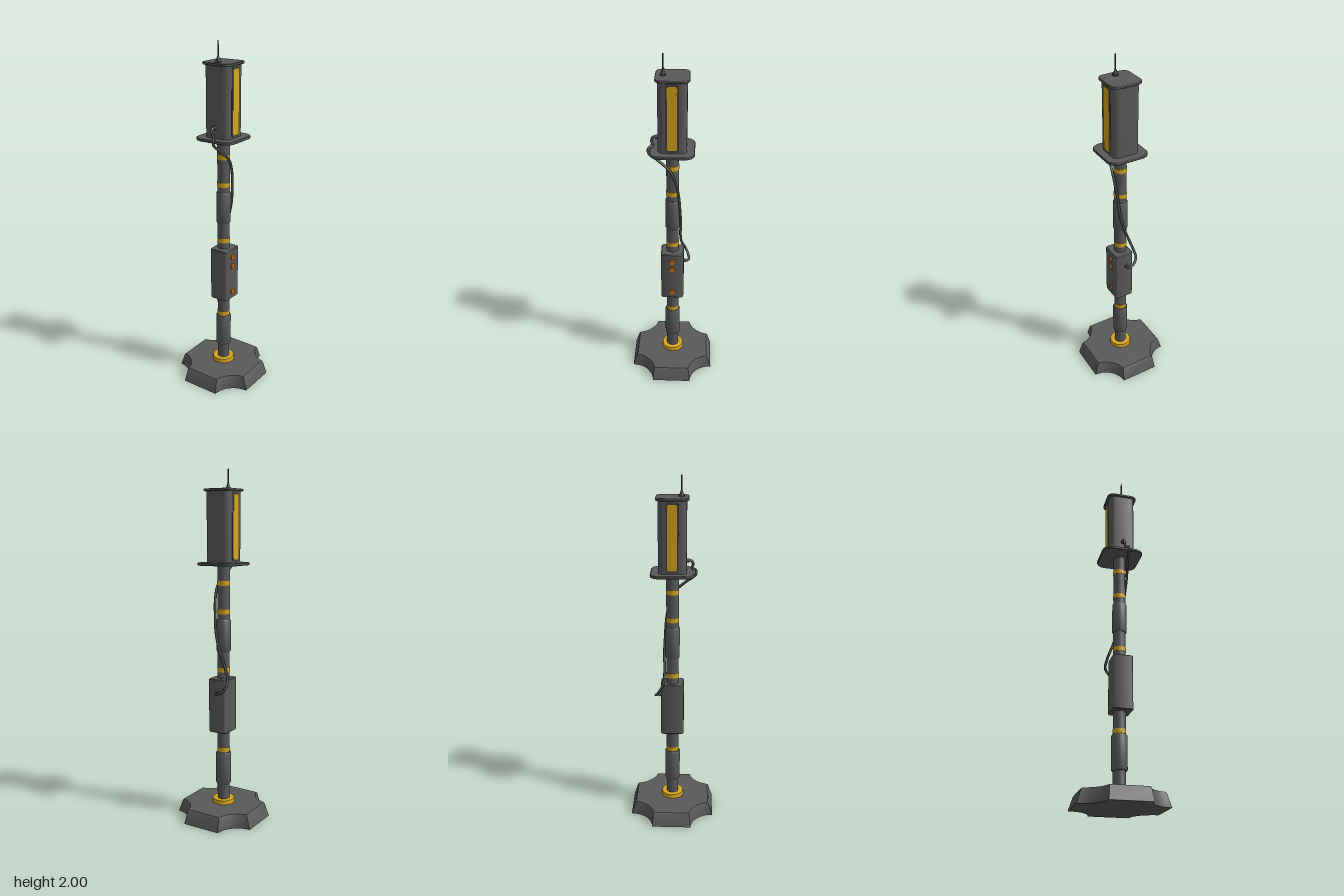
import * as THREE from 'three';
import { toCreasedNormals } from 'three/addons/utils/BufferGeometryUtils.js';

const mat = (name, color) => {
  const m = new THREE.MeshStandardMaterial({ color });
  m.name = name;
  return m;
};

// Rounded rectangle outline centred on the origin
function roundedRect(hw, hh, r) {
  const s = new THREE.Shape();
  s.moveTo(hw, -hh + r);
  s.absarc(hw - r, hh - r, r, 0, Math.PI / 2);
  s.absarc(-hw + r, hh - r, r, Math.PI / 2, Math.PI);
  s.absarc(-hw + r, -hh + r, r, Math.PI, Math.PI * 1.5);
  s.absarc(hw - r, -hh + r, r, Math.PI * 1.5, Math.PI * 2);
  return s;
}

// Square outline with a round bite taken from each corner
function bittenSquare(half, biteRadius, centre = 0.245, steps = 10) {
  const pts = [];
  const a = Math.asin((centre - half) / biteRadius);
  for (let k = 0; k < 4; k++) {
    for (let i = 0; i <= steps; i++) {
      const t = THREE.MathUtils.lerp(1.5 * Math.PI - a, Math.PI + a, i / steps);
      const p = new THREE.Vector2(centre + biteRadius * Math.cos(t), centre + biteRadius * Math.sin(t));
      pts.push(p.rotateAround(new THREE.Vector2(), k * Math.PI / 2));
    }
  }
  return pts;
}

// Skin a stack of level outlines, closed at both ends
function loft(levels) {
  const pos = [], idx = [], n = levels[0].pts.length;
  for (const { y, pts } of levels) for (const p of pts) pos.push(p.x, y, -p.y);
  for (let l = 0; l < levels.length - 1; l++) {
    for (let i = 0; i < n; i++) {
      const a = l * n + i, b = l * n + (i + 1) % n;
      idx.push(a, b, b + n, a, b + n, a + n);
    }
  }
  const top = (levels.length - 1) * n;
  for (const [a, b, c] of THREE.ShapeUtils.triangulateShape(levels[0].pts, [])) idx.push(a, c, b);
  for (const [a, b, c] of THREE.ShapeUtils.triangulateShape(levels[levels.length - 1].pts, [])) {
    idx.push(top + a, top + b, top + c);
  }
  const g = new THREE.BufferGeometry();
  g.setAttribute('position', new THREE.Float32BufferAttribute(pos, 3));
  g.setIndex(idx);
  return toCreasedNormals(g, 0.6);
}

export function createModel() {
  const group = new THREE.Group();
  const grey = mat('grey metal', 0x5a5a5a);
  const dark = mat('dark metal', 0x404040);
  const rubber = mat('cable rubber', 0x4c4c4c);
  const yellow = mat('yellow', 0xd6a61e);
  const orange = mat('orange', 0xc46c14);

  const add = (name, geometry, material, x = 0, y = 0, z = 0) => {
    const m = new THREE.Mesh(geometry, material);
    m.name = name;
    m.position.set(x, y, z);
    group.add(m);
    return m;
  };
  const tube = (name, r, y0, y1, material, rTop = r, x = 0, z = 0) =>
    add(name, new THREE.CylinderGeometry(rTop, r, y1 - y0, 24), material, x, (y0 + y1) / 2, z);

  // Upright prism with rounded corners and a small bevel
  const prism = (name, hw, hd, r, y0, y1, bevel, z = 0) => {
    const g = new THREE.ExtrudeGeometry(roundedRect(hw - bevel, hd - bevel, r), {
      depth: y1 - y0 - 2 * bevel, bevelEnabled: bevel > 0, bevelSize: bevel,
      bevelThickness: bevel, bevelSegments: 1, curveSegments: 8,
    });
    g.rotateX(-Math.PI / 2);
    return add(name, toCreasedNormals(g, 0.6), grey, 0, y0 + bevel, z);
  };
  const plate = (hw, hh, r, depth) =>
    new THREE.ExtrudeGeometry(roundedRect(hw, hh, r), { depth, bevelEnabled: false, curveSegments: 5 });

  // Foot
  add('base', loft([
    { y: 0, pts: bittenSquare(0.245, 0.131) },
    { y: 0.072, pts: bittenSquare(0.222, 0.141) },
    { y: 0.08, pts: bittenSquare(0.216, 0.145) },
  ]), grey);

  // Pole, sleeves and collars
  tube('pole', 0.035, 0.07, 1.48, grey);
  const sleeve = (name, r, y0, y1) => {
    const profile = [[0.03, y0], [r - 0.004, y0], [r, y0 + 0.006], [r, y1 - 0.006], [r - 0.004, y1], [0.03, y1]];
    const g = new THREE.LatheGeometry(profile.map(p => new THREE.Vector2(...p)), 24);
    add(name, toCreasedNormals(g, 0.6), grey);
  };
  sleeve('lowerSleeve', 0.044, 0.195, 0.388);
  sleeve('upperSleeve', 0.041, 0.985, 1.17);
  tube('baseCollar', 0.066, 0.08, 0.104, yellow, 0.063);
  for (const y of [0.405, 0.88, 1.215, 1.375]) tube('poleBand', 0.0365, y - 0.013, y + 0.013, yellow);

  // Control box with three buttons
  prism('controlBox', 0.066, 0.057, 0.012, 0.515, 0.83, 0.004, 0.007);
  for (const y of [0.78, 0.725, 0.56]) {
    const b = add('button', new THREE.CylinderGeometry(0.018, 0.02, 0.008, 8), orange, 0, y, 0.066);
    b.rotation.x = Math.PI / 2;
  }

  // Head with its flange, cap and a lit strip on front and back
  prism('flange', 0.12, 0.12, 0.05, 1.474, 1.49, 0.003);
  prism('head', 0.077, 0.077, 0.035, 1.49, 1.88, 0);
  prism('cap', 0.089, 0.089, 0.035, 1.877, 1.89, 0.002);
  for (const side of [0, Math.PI]) {
    const strip = new THREE.Group();
    strip.name = 'lightStrip';
    const frame = new THREE.Mesh(plate(0.035, 0.187, 0.015, 0.004), dark);
    frame.name = 'stripFrame';
    frame.position.set(0, 1.683, 0.075);
    const lamp = new THREE.Mesh(plate(0.026, 0.175, 0.01, 0.006), yellow);
    lamp.name = 'stripLamp';
    lamp.position.set(0, 1.683, 0.075);
    strip.add(frame, lamp);
    strip.rotation.y = side;
    group.add(strip);
  }

  // Antenna
  tube('antennaFoot', 0.016, 1.889, 1.897, dark, 0.016, -0.048);
  tube('antennaCone', 0.013, 1.897, 1.922, dark, 0.005, -0.048);
  tube('antennaRod', 0.004, 1.915, 2, dark, 0.003, -0.048);

  // Cable from the head, around the pole, to the control box
  const path = [
    [-0.07, 1.55, 0], [-0.1, 1.55, 0], [-0.112, 1.53, 0.002], [-0.106, 1.505, 0.01],
    [-0.127, 1.492, 0.024], [-0.128, 1.468, 0.026], [-0.07, 1.42, 0.032], [-0.008, 1.36, 0.044],
    [0.022, 1.28, 0.042], [0.036, 1.2, 0.034], [0.043, 1.1, 0.025], [0.047, 1, 0],
    [0.044, 0.92, -0.03], [0.052, 0.84, -0.058], [0.075, 0.795, -0.063], [0.09, 0.768, -0.042],
    [0.096, 0.752, -0.012], [0.085, 0.75, 0], [0.06, 0.75, 0],
  ].map(p => new THREE.Vector3(...p));
  add('cable', new THREE.TubeGeometry(new THREE.CatmullRomCurve3(path), 160, 0.0075, 8), rubber);
  for (const [x, y] of [[-0.082, 1.55], [0.068, 0.75]]) {
    const plug = add('cablePlug', new THREE.CylinderGeometry(0.011, 0.011, 0.02, 12), rubber, x, y, 0);
    plug.rotation.z = Math.PI / 2;
  }

  return group;
}
